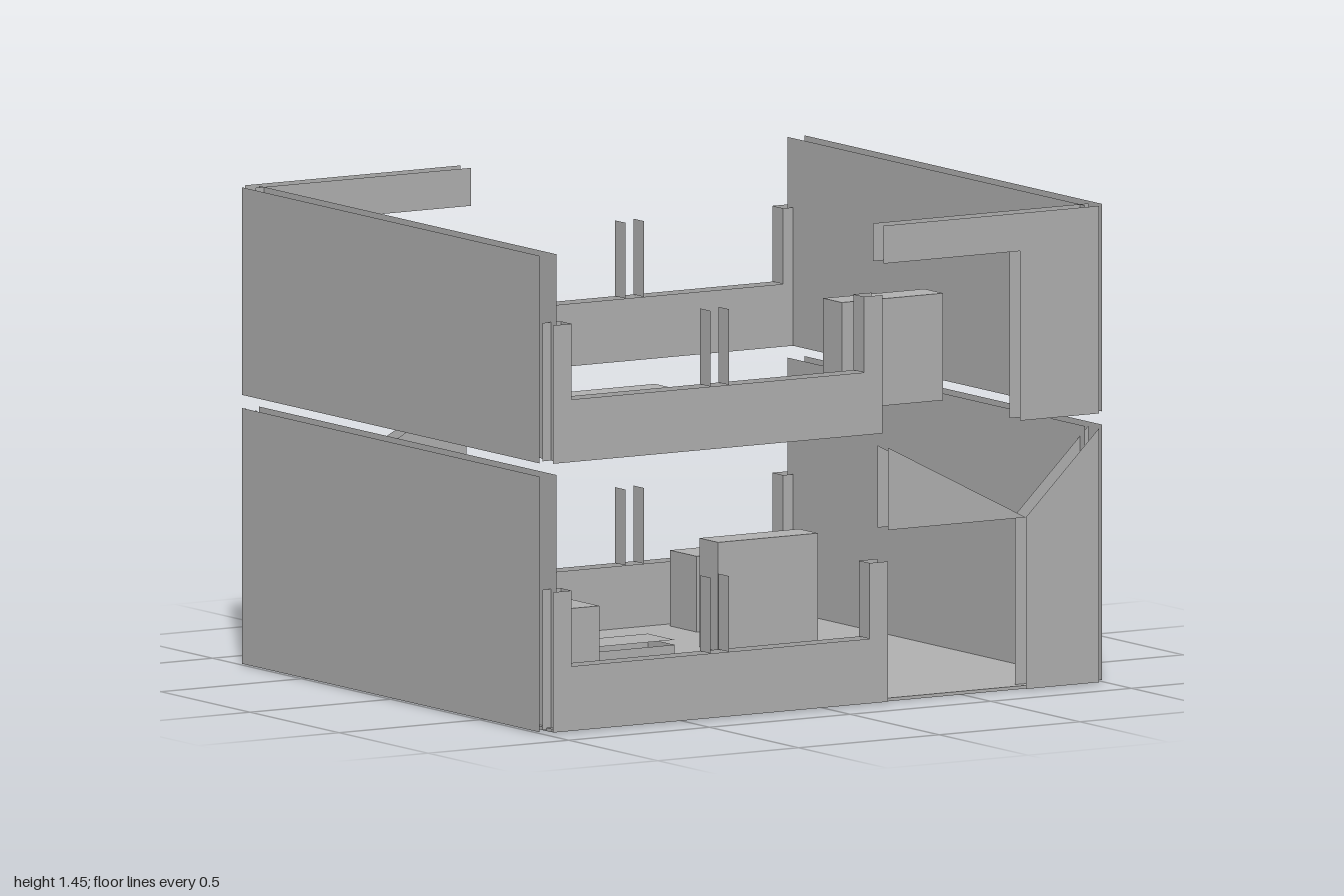
import * as THREE from 'three';

export function createModel() {
  const model = new THREE.Group();
  const grey = new THREE.MeshStandardMaterial({ color: 0xb2b2b2, side: THREE.DoubleSide });
  grey.name = 'plain grey';
  const HALF = 0.03; // half the wall thickness

  function add(parent, name, geometry, x = 0, y = 0, z = 0) {
    const mesh = new THREE.Mesh(geometry, grey);
    mesh.name = name;
    mesh.position.set(x, y, z);
    parent.add(mesh);
    return mesh;
  }
  function box(name, x0, x1, y0, y1, z0, z1) {
    add(model, name, new THREE.BoxGeometry(x1 - x0, y1 - y0, z1 - z0),
      (x0 + x1) / 2, (y0 + y1) / 2, (z0 + z1) / 2);
  }
  // Hollow wall: an outer and an inner skin with the same outline
  function skins(parent, name, points) {
    const shape = new THREE.Shape(points.map(([x, y]) => new THREE.Vector2(x, y)));
    for (const s of [1, -1]) add(parent, name, new THREE.ShapeGeometry(shape), 0, 0, 0.835 + s * HALF);
  }
  // Window reveals standing between the two skins
  function reveals(parent, xs, y0, y1) {
    for (const x of xs) {
      add(parent, 'windowReveal', new THREE.PlaneGeometry(2 * HALF, y1 - y0), x, (y0 + y1) / 2, 0.835)
        .rotation.y = Math.PI / 2;
    }
  }

  // Ground floor and upper landing
  box('groundFloor', -0.955, 0.955, 0, 0.01, -0.835, 0.835);
  add(model, 'upperLanding', new THREE.PlaneGeometry(0.36, 1.21), 0, 0.817, 0.225).rotation.x = -Math.PI / 2;

  // Side walls, two skins on each storey
  for (const [name, y0, y1] of [['lowerSideWall', 0.004, 0.78], ['upperSideWall', 0.82, 1.45]]) {
    for (const x of [-1, -0.94, 0.94, 1]) {
      add(model, name, new THREE.PlaneGeometry(1.67, y1 - y0), x, (y0 + y1) / 2, 0)
        .rotation.y = Math.sign(x) * Math.PI / 2;
    }
  }

  // Front and back walls; the back is the front turned half round
  for (const back of [false, true]) {
    const wall = new THREE.Group();
    wall.name = back ? 'backWall' : 'frontWall';
    if (back) wall.rotation.y = Math.PI;
    model.add(wall);

    // Lower storey: parapet with posts, door column and door gusset
    skins(wall, 'lowerParapet', [[-0.97, 0.004], [0.22, 0.004], [0.22, 0.43], [0.155, 0.43],
      [0.155, 0.2], [-0.905, 0.2], [-0.905, 0.43], [-0.97, 0.43]]);
    skins(wall, 'doorColumn', [[0.71, 0.004], [0.97, 0.004], [0.97, 0.775], [0.71, 0.525]]);
    skins(wall, 'doorGusset', [[0.22, 0.525], [0.71, 0.525], [0.22, 0.775]]);
    reveals(wall, [-0.905, -0.41, -0.345, 0.155], 0.2, 0.43);

    // Upper storey: parapet, and column with lintel
    const end = back ? [[0.2, 1.01]] : [[0.2, 1.24], [0.135, 1.24], [0.135, 1.01]];
    skins(wall, 'upperParapet', [[-0.97, 0.82], [0.2, 0.82], ...end,
      [-0.905, 1.01], [-0.905, 1.24], [-0.97, 1.24]]);
    skins(wall, 'upperColumnAndLintel', [[0.69, 0.82], [0.97, 0.82], [0.97, 1.45],
      [0.205, 1.45], [0.205, 1.335], [0.69, 1.335]]);
    reveals(wall, back ? [-0.905, -0.41, -0.345] : [-0.905, -0.41, -0.345, 0.135], 1.01, 1.24);
  }

  // Cabinets and low chests
  box('tallCabinet', -0.895, -0.73, 0.01, 0.355, 0.47, 0.745);
  box('lowChest', -0.89, -0.62, 0.01, 0.24, -0.74, -0.58);
  box('lowBench', 0.48, 0.87, 0.01, 0.24, -0.77, -0.62);
  box('lowerCupboard', 0.325, 0.68, 0.01, 0.34, -0.36, -0.255);
  box('upperCupboard', 0.36, 0.72, 0.82, 1.145, 0.28, 0.385);

  // Counters: open-bottomed sides under a thin loose top
  for (const [x0, x1, y0, z0, z1] of [[-0.76, -0.26, 0.01, 0.275, 0.425], [-0.82, -0.31, 0.83, -0.41, -0.26]]) {
    const w = x1 - x0, d = z1 - z0, h = 0.15, cx = (x0 + x1) / 2, cz = (z0 + z1) / 2;
    for (const s of [-1, 1]) {
      add(model, 'counterSide', new THREE.PlaneGeometry(w, h), cx, y0 + h / 2, cz + s * d / 2)
        .rotation.y = s > 0 ? 0 : Math.PI;
      add(model, 'counterEnd', new THREE.PlaneGeometry(d, h), cx + s * w / 2, y0 + h / 2, cz)
        .rotation.y = s * Math.PI / 2;
    }
    add(model, 'counterTop', new THREE.PlaneGeometry(w, d), cx, y0 + h + 0.015, cz).rotation.x = -Math.PI / 2;
  }
  return model;
}
